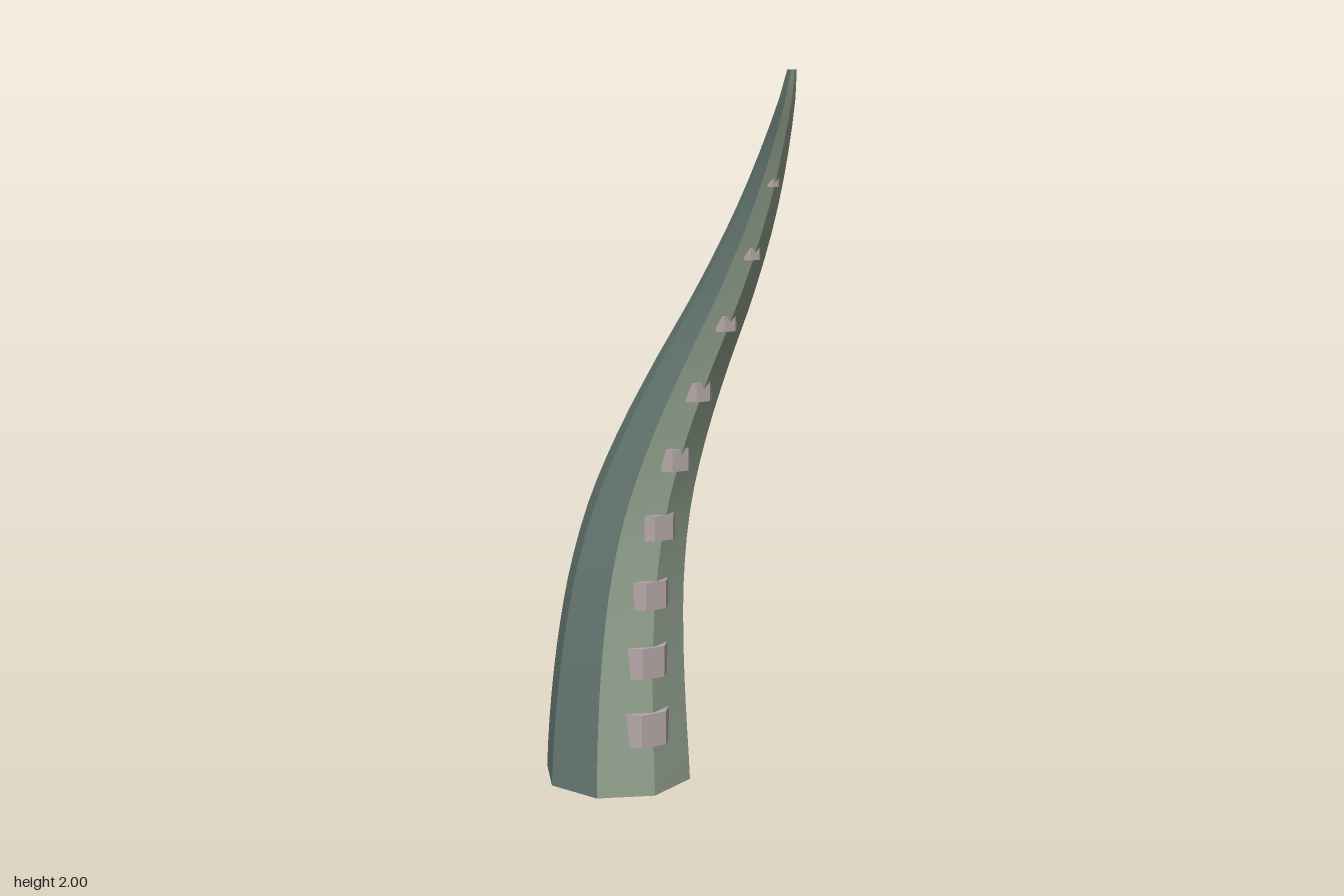
import * as THREE from 'three';

const HEIGHT = 2, SIDES = 8, ROWS = 28;

// centre line as (x, z), sampled every 0.2 of height
const spine = new THREE.SplineCurve([
  [-0.027, -0.188], [-0.027, -0.186], [-0.022, -0.179], [-0.01, -0.163],
  [0.016, -0.134], [0.055, -0.079], [0.102, -0.005], [0.147, 0.086],
  [0.174, 0.182], [0.178, 0.282], [0.156, 0.388],
].map(([x, z]) => new THREE.Vector2(x, z)));

const radiusAt = (y) => 0.212 - 0.2 * Math.pow(y / HEIGHT, 1.2);
const centreAt = (y) => {
  const p = spine.getPoint(y / HEIGHT);
  return new THREE.Vector3(p.x, y, p.y);
};

// one long face of the octagonal body, smooth along its length
function stripGeometry(side) {
  const positions = [], index = [];
  for (let row = 0; row <= ROWS; row++) {
    const y = HEIGHT * row / ROWS, c = centreAt(y), r = radiusAt(y);
    for (const k of [side, side + 1]) {
      const a = k / SIDES * Math.PI * 2;
      positions.push(c.x + r * Math.sin(a), y, c.z + r * Math.cos(a));
    }
    if (row < ROWS) {
      const i = row * 2;
      index.push(i, i + 1, i + 3, i, i + 3, i + 2);
    }
  }
  const geometry = new THREE.BufferGeometry();
  geometry.setAttribute('position', new THREE.Float32BufferAttribute(positions, 3));
  geometry.setIndex(index);
  geometry.computeVertexNormals();
  return geometry;
}

export function createModel() {
  const skin = new THREE.MeshStandardMaterial({ color: 0x667872, side: THREE.DoubleSide });
  const belly = new THREE.MeshStandardMaterial({ color: 0x93a38f, side: THREE.DoubleSide });
  const sucker = new THREE.MeshStandardMaterial({ color: 0xb6a7a7, flatShading: true });
  skin.name = 'greyGreenSkin';
  belly.name = 'paleGreenBelly';
  sucker.name = 'paleMauveSucker';

  const model = new THREE.Group();
  model.name = 'tentacle';

  // open tapering body: the two faces beside the front ridge are the belly
  for (let side = 0; side < SIDES; side++) {
    const isBelly = side === 0 || side === SIDES - 1;
    const mesh = new THREE.Mesh(stripGeometry(side), isBelly ? belly : skin);
    mesh.name = isBelly ? 'bellyStrip' : 'skinStrip';
    model.add(mesh);
  }

  // row of shrinking, flattened six-sided suckers, sunk into the front ridge
  for (let i = 1; i <= 9; i++) {
    const y = 0.19 * i, c = centreAt(y), r = radiusAt(y);
    const size = 0.38 * r, depth = 0.65;
    const geometry = new THREE.CylinderGeometry(size, size, 0.48 * r, 6);
    geometry.rotateY(Math.PI / 6).scale(1, 1, depth);
    const mesh = new THREE.Mesh(geometry, sucker);
    mesh.name = 'sucker';
    mesh.position.set(c.x, y, c.z + 1.02 * r - depth * size * Math.cos(Math.PI / 6));
    model.add(mesh);
  }
  return model;
}
